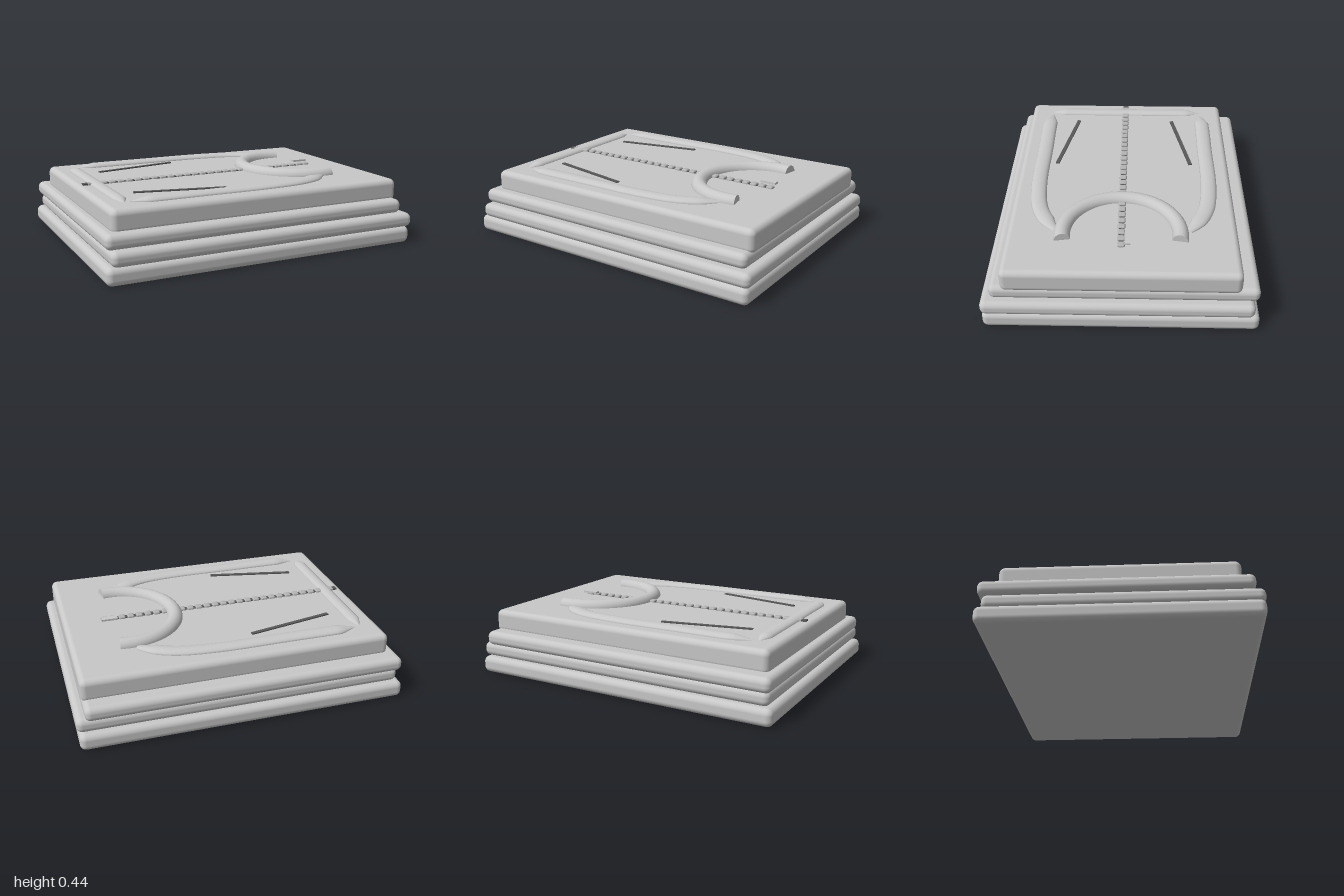
import * as THREE from 'three';
import { RoundedBoxGeometry } from 'three/addons/geometries/RoundedBoxGeometry.js';
import { mergeVertices } from 'three/addons/utils/BufferGeometryUtils.js';

const V = (x, y, z) => new THREE.Vector3(x, y, z);

// Tube along a smooth path whose radius tapers to the given fraction at each end
function taperedRoll(points, radius, flatten, startTip, endTip, taper) {
  const curve = new THREE.CatmullRomCurve3(points);
  const rings = 48, sides = 16;
  const geo = new THREE.TubeGeometry(curve, rings, radius, sides, false);
  const pos = geo.attributes.position;
  const p = new THREE.Vector3();
  for (let i = 0; i <= rings; i++) {
    const t = i / rings;
    const centre = curve.getPointAt(t);
    const a = THREE.MathUtils.lerp(startTip, 1, Math.min(1, t / taper));
    const b = THREE.MathUtils.lerp(endTip, 1, Math.min(1, (1 - t) / taper));
    const s = Math.min(a, b);
    for (let j = 0; j <= sides; j++) {
      const k = i * (sides + 1) + j;
      p.fromBufferAttribute(pos, k).sub(centre).multiplyScalar(s);
      p.y *= flatten;
      p.add(centre);
      pos.setXYZ(k, p.x, p.y, p.z);
    }
  }
  geo.deleteAttribute('uv');
  geo.deleteAttribute('normal');
  const smooth = mergeVertices(geo, 1e-5);
  smooth.computeVertexNormals();
  return smooth;
}

export function createModel() {
  const cloth = new THREE.MeshStandardMaterial({ color: 0xc8c8c8 });
  cloth.name = 'cloth grey';
  const metal = new THREE.MeshStandardMaterial({ color: 0xb4b4b4 });
  metal.name = 'zip grey';
  const dark = new THREE.MeshStandardMaterial({ color: 0x585858 });
  dark.name = 'dark grey';

  const model = new THREE.Group();
  model.name = 'foldedClothesStack';
  const add = (name, geo, mat, parent = model) => {
    const mesh = new THREE.Mesh(geo, mat);
    mesh.name = name;
    parent.add(mesh);
    return mesh;
  };

  // Folded layers: x0, x1, y0, y1, z0, z1
  const layers = [
    ['bottomFold', -1, 0.99, 0, 0.104, -0.8, 0.795],
    ['secondFold', -0.97, 1, 0.102, 0.19, -0.77, 0.8],
    ['thirdFold', -0.985, 0.95, 0.184, 0.272, -0.795, 0.75],
    ['topFold', -0.93, 0.955, 0.247, 0.39, -0.69, 0.68],
  ];
  for (const [name, x0, x1, y0, y1, z0, z1] of layers) {
    add(name, new RoundedBoxGeometry(x1 - x0, y1 - y0, z1 - z0, 5, 0.036), cloth)
      .position.set((x0 + x1) / 2, (y0 + y1) / 2, (z0 + z1) / 2);
  }

  // Collar: an open ring with flat ends
  const collar = new THREE.Group();
  collar.name = 'collar';
  collar.position.set(0.6, 0.387, 0);
  model.add(collar);
  const R = 0.35, r = 0.049, a = THREE.MathUtils.degToRad(80);
  const ring = new THREE.TorusGeometry(R, r, 16, 48, 2 * (Math.PI - a));
  ring.rotateZ(a).rotateX(Math.PI / 2);
  add('collarRoll', ring, cloth, collar);
  for (const side of [1, -1]) {
    const cap = add('collarEnd', new THREE.CircleGeometry(r, 16), cloth, collar);
    cap.position.set(R * Math.cos(a), 0, side * R * Math.sin(a));
    cap.rotation.y = side > 0 ? Math.PI - a : a;
  }

  // Sleeves and slanted pockets on both sides
  for (const side of [1, -1]) {
    const shift = side > 0 ? -0.005 : 0.005;
    const path = [[-0.77, 0.53], [-0.66, 0.54], [-0.3, 0.54], [0.1, 0.54], [0.35, 0.51], [0.48, 0.455], [0.57, 0.395]]
      .map(([x, z]) => V(x, 0.39, side * (z + shift)));
    add(side > 0 ? 'leftSleeve' : 'rightSleeve', taperedRoll(path, 0.05, 0.5, 0.08, 0.4, 0.08), cloth);

    const pocket = add(side > 0 ? 'leftPocket' : 'rightPocket', new THREE.BoxGeometry(0.56, 0.016, 0.024), dark);
    pocket.position.set(-0.405, 0.389, side * 0.385);
    pocket.rotation.y = -side * Math.atan2(0.11, 0.55);
  }

  // Waist hem
  const hem = [-0.53, -0.2, 0.2, 0.53].map((z) => V(-0.805, 0.388, z));
  add('hem', taperedRoll(hem, 0.041, 0.55, 0.08, 0.08, 0.08), cloth);

  // Zip: dark tape with a row of teeth
  const zip = new THREE.Group();
  zip.name = 'zip';
  model.add(zip);
  add('zipTape', new THREE.BoxGeometry(1.49, 0.012, 0.03), dark, zip).position.set(-0.03, 0.389, 0);
  const tooth = new RoundedBoxGeometry(0.043, 0.024, 0.046, 3, 0.01);
  for (let i = 0; i < 27; i++) {
    add('zipTooth', tooth, metal, zip).position.set(-0.758 + i * 0.056, 0.392, 0);
  }
  add('zipPull', new THREE.BoxGeometry(0.1, 0.012, 0.036), cloth, zip).position.set(0.67, 0.413, -0.038);
  add('zipStop', new THREE.BoxGeometry(0.03, 0.02, 0.036), dark, zip).position.set(-0.873, 0.39, 0);
  add('zipStopPin', new THREE.BoxGeometry(0.02, 0.022, 0.046), metal, zip).position.set(-0.848, 0.391, 0);

  return model;
}
